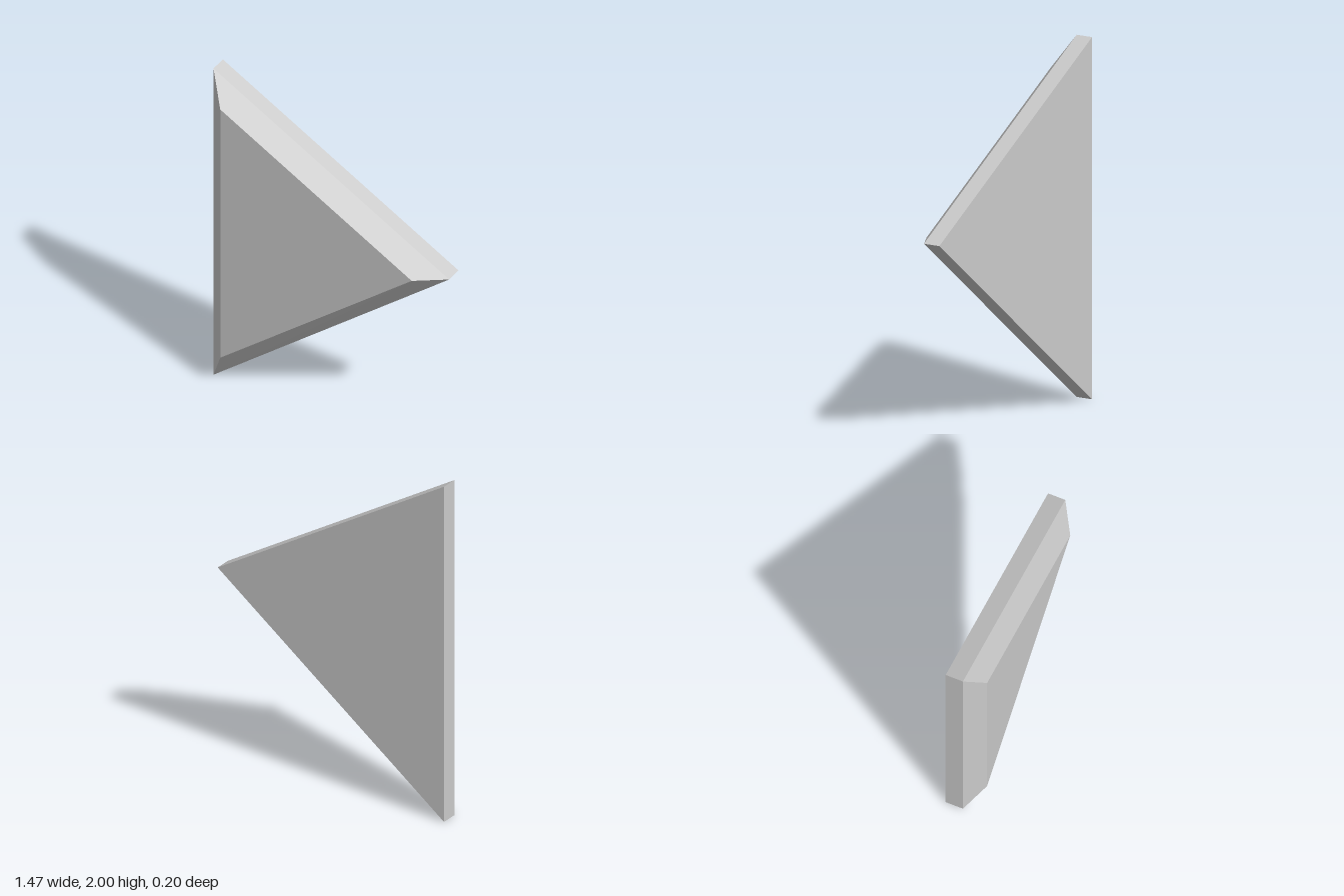
import * as THREE from 'three';

// Triangular sections, counter-clockwise seen from the front
const OUTER = [[-0.735, 0], [0.73, 1.127], [-0.735, 2]];
const INNER = [[-0.635, 0.205], [0.555, 1.117], [-0.635, 1.826]];

// Joins flat sections, ordered back to front, into a closed faceted solid
function loft(sections) {
  const positions = [];
  const rings = sections.map(({ outline, z }) => outline.map(([x, y]) => [x, y, z]));
  const face = (a, b, c) => positions.push(...a, ...b, ...c);
  const back = rings[0];
  const front = rings[rings.length - 1];

  face(back[0], back[2], back[1]);
  for (let r = 0; r < rings.length - 1; r++) {
    for (let i = 0; i < 3; i++) {
      const j = (i + 1) % 3;
      face(rings[r][i], rings[r][j], rings[r + 1][j]);
      face(rings[r][i], rings[r + 1][j], rings[r + 1][i]);
    }
  }
  face(front[0], front[1], front[2]);

  const geometry = new THREE.BufferGeometry();
  geometry.setAttribute('position', new THREE.Float32BufferAttribute(positions, 3));
  geometry.computeVertexNormals();
  return geometry;
}

export function createModel() {
  const group = new THREE.Group();
  group.name = 'bevelledTriangle';

  // Straight-sided slab behind, wide bevel up to the smaller front face
  const plate = new THREE.Mesh(
    loft([
      { outline: OUTER, z: -0.1 },
      { outline: OUTER, z: 0 },
      { outline: INNER, z: 0.1 },
    ]),
    new THREE.MeshStandardMaterial({ color: 0xcccccc, flatShading: true })
  );
  plate.name = 'triangularPlate';
  group.add(plate);
  return group;
}
